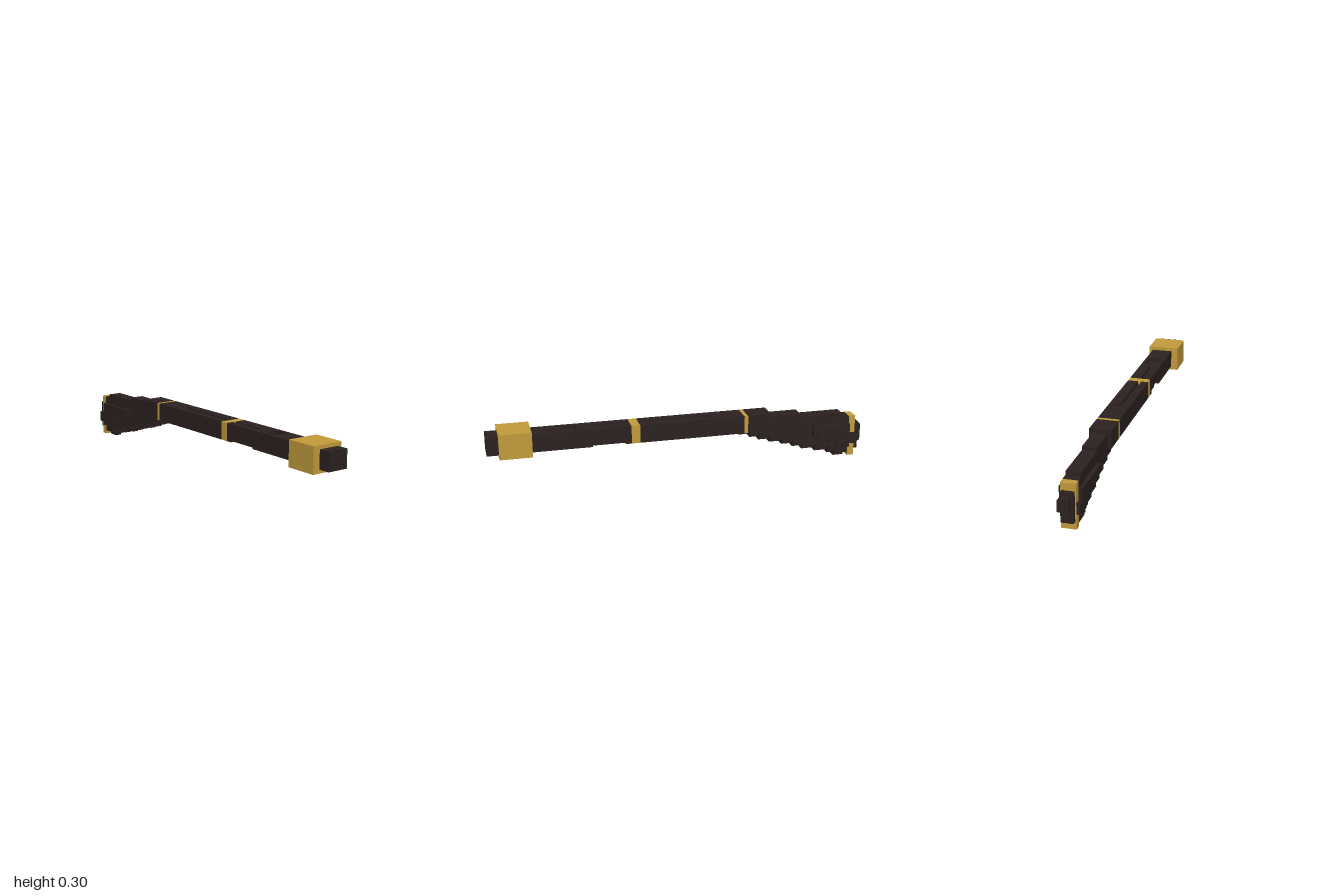
import * as THREE from 'three';

const V = 2 / 107; // size of one block step

export function createModel() {
  const model = new THREE.Group();
  model.name = 'longGun';
  const dark = new THREE.MeshStandardMaterial({ color: 0x2c2221 });
  dark.name = 'dark wood';
  const gold = new THREE.MeshStandardMaterial({ color: 0xc39c3c });
  gold.name = 'brass';

  function group(name) {
    const g = new THREE.Group();
    g.name = name;
    model.add(g);
    return g;
  }
  // Box given by its limits on each axis
  function box(parent, name, mat, x0, x1, y0, y1, z0, z1) {
    const mesh = new THREE.Mesh(new THREE.BoxGeometry(x1 - x0, y1 - y0, z1 - z0), mat);
    mesh.position.set((x0 + x1) / 2, (y0 + y1) / 2, (z0 + z1) / 2);
    mesh.name = name;
    parent.add(mesh);
  }

  // Shared limits: barrel, stock core and stock ridge
  const [zb0, zb1] = [-0.064, 0.047];
  const [zc0, zc1] = [-0.045, 0.028];
  const [zn0, zn1] = [-0.027, 0.009];
  const [yb0, yb1] = [10 * V, 15 * V];
  const yTop = yb1 - V;

  // Barrel pieces between the bands; an optional slot runs along the top
  const barrel = group('barrel');
  function solid(x0, x1) {
    box(barrel, 'barrelBlock', dark, x0, x1, yb0, yb1, zb0, zb1);
  }
  function slotted(x0, x1, s0 = -0.008, s1 = 0.01) {
    box(barrel, 'slottedBase', dark, x0, x1, yb0, yTop, zb0, zb1);
    box(barrel, 'slotSideBack', dark, x0, x1, yTop, yb1, zb0, s0);
    box(barrel, 'slotSideFront', dark, x0, x1, yTop, yb1, s1, zb1);
  }
  solid(-0.477, -0.35);
  solid(-0.33, -0.16);
  slotted(-0.16, -0.125, -0.027, 0.01);
  slotted(-0.125, 0.225);
  solid(0.47, 0.545);
  slotted(0.545, 0.62, -0.045, 0.028);
  solid(0.62, 0.98);
  slotted(0.98, 1);

  // Fore-end, its lower corners cut back in steps
  const foreEnd = group('foreEnd');
  const cuts = [[0.27, 0.30, 0], [0.30, 0.36, 1], [0.36, 0.43, 2], [0.43, 0.47, 1]];
  for (const [x0, x1, n] of cuts) {
    const y = yb0 + n * V;
    if (n) box(foreEnd, 'recess', dark, x0, x1, yb0, y, zc0, zc1);
    box(foreEnd, 'foreEndBase', dark, x0, x1, y, yTop, zb0, zb1);
    box(foreEnd, 'foreEndSideBack', dark, x0, x1, yTop, yb1, zb0, -0.008);
    box(foreEnd, 'foreEndSideFront', dark, x0, x1, yTop, yb1, 0.01, zb1);
  }

  // Brass bands and muzzle block
  box(model, 'rearBand', gold, -0.35, -0.33, yb0, yb1, zb0, zb1);
  box(model, 'frontBand', gold, 0.225, 0.27, yb0, yb1, zb0, zb1);
  box(model, 'muzzleBlock', gold, 0.775, 0.94, 9 * V, 16 * V, -0.084, 0.084);

  // Stock: rows rising toward the barrel, each with a narrower ridge below
  const stock = group('stock');
  const rowEnds = [-0.85, -0.815, -0.74, -0.665, -0.61, -0.55, -0.48, -0.42, -0.37, -0.31];
  rowEnds.forEach((end, k) => {
    const start = k === 0 ? -0.907 : -0.925;
    box(stock, 'ridgeRow', dark, start, end, k * V, (k + 1) * V, zn0, zn1);
    if (k) box(stock, 'stockRow', dark, start, rowEnds[k - 1], k * V, (k + 1) * V, zc0, zc1);
  });
  const topRows = [[-0.925, 10, 12], [-0.885, 12, 13], [-0.645, 13, 14]];
  for (const [x0, k0, k1] of topRows) {
    box(stock, 'combRow', dark, x0, -0.477, k0 * V, k1 * V, zc0, zc1);
  }

  // Cheek plates on both sides, tapering forward in steps
  const cheeks = group('cheeks');
  const cheekRows = [[-0.96, -0.89], [-0.96, -0.85], [-0.96, -0.80], [-0.96, -0.75],
    [-0.925, -0.71], [-0.925, -0.68], [-0.925, -0.645]];
  cheekRows.forEach(([x0, x1], i) => {
    const y = (3 + i) * V;
    const xs = i === 0 ? -0.925 : x0;
    box(cheeks, 'frontCheekRow', dark, xs, x1, y, y + V, zc1, zb1 - 0.001);
    box(cheeks, 'backCheekRow', dark, xs, Math.min(x1, -0.72), y, y + V, zb0, zc0);
  });

  // Brass butt plate with a dark stepped pad behind it
  const butt = group('butt');
  box(butt, 'buttPlate', gold, -0.96, -0.925, V, 12 * V, zc0, zc1);
  box(butt, 'buttFootFront', gold, -0.96, -0.925, 0, V, zn1, zc1);
  box(butt, 'buttFootBack', gold, -0.96, -0.925, 0, V, zc0, zn0);
  box(butt, 'buttFootMiddle', gold, -0.96, -0.925, 0, V, zn0, zn1);
  box(butt, 'buttPadInner', dark, -0.981, -0.96, 2 * V, 10 * V, -0.04, 0.022);
  box(butt, 'buttPadOuter', dark, -1, -0.981, 4 * V, 9 * V, zn0, zn1);

  return model;
}
